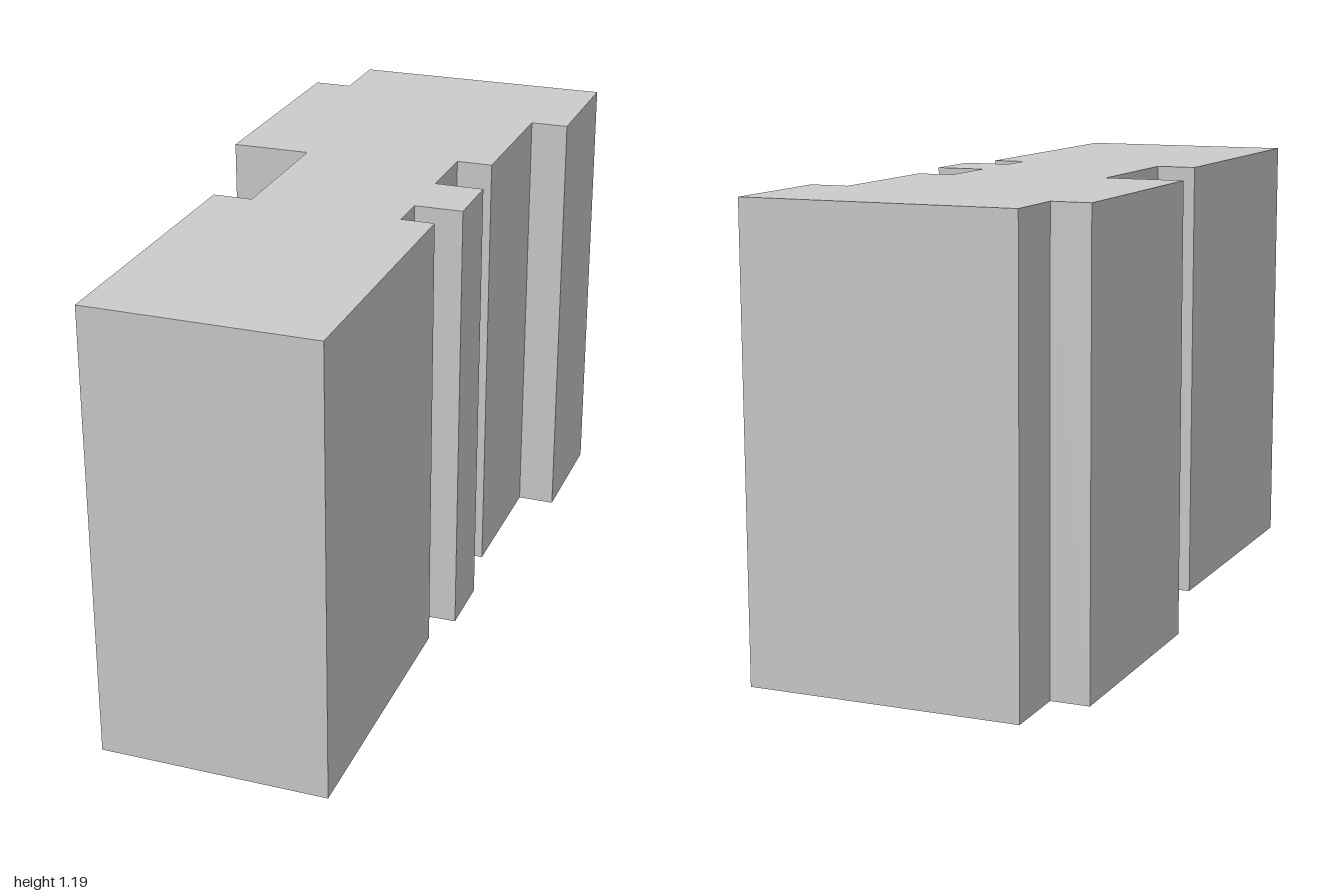
import * as THREE from 'three';

const HEIGHT = 1.19;

// Footprint corners as [x, z], going round from the back corner
const FOOTPRINT = [
  // right-hand end and stepped front side
  [0.265, -1.0], [0.853, -0.6], [0.656, -0.308], [0.572, -0.366],
  [0.349, -0.038], [0.27, -0.092], [0.162, 0.066],
  // small projecting bay
  [0.27, 0.14], [0.17, 0.288], [0.064, 0.217], [0.004, 0.304], [0.077, 0.354],
  // front end and stepped rear side
  [-0.36, 1.0], [-0.853, 0.659], [-0.411, 0.006], [-0.324, 0.065],
  [-0.102, -0.267], [-0.276, -0.384], [0.078, -0.905], [0.162, -0.847],
];

export function createModel() {
  const group = new THREE.Group();
  group.name = 'building';

  // Upright block: the footprint raised to one flat roof
  const shape = new THREE.Shape(FOOTPRINT.map(([x, z]) => new THREE.Vector2(x, -z)));
  const geometry = new THREE.ExtrudeGeometry(shape, { depth: HEIGHT, bevelEnabled: false });
  geometry.rotateX(-Math.PI / 2);

  const block = new THREE.Mesh(
    geometry,
    new THREE.MeshStandardMaterial({ color: 0xcccccc, flatShading: true })
  );
  block.name = 'buildingBlock';
  group.add(block);
  return group;
}
